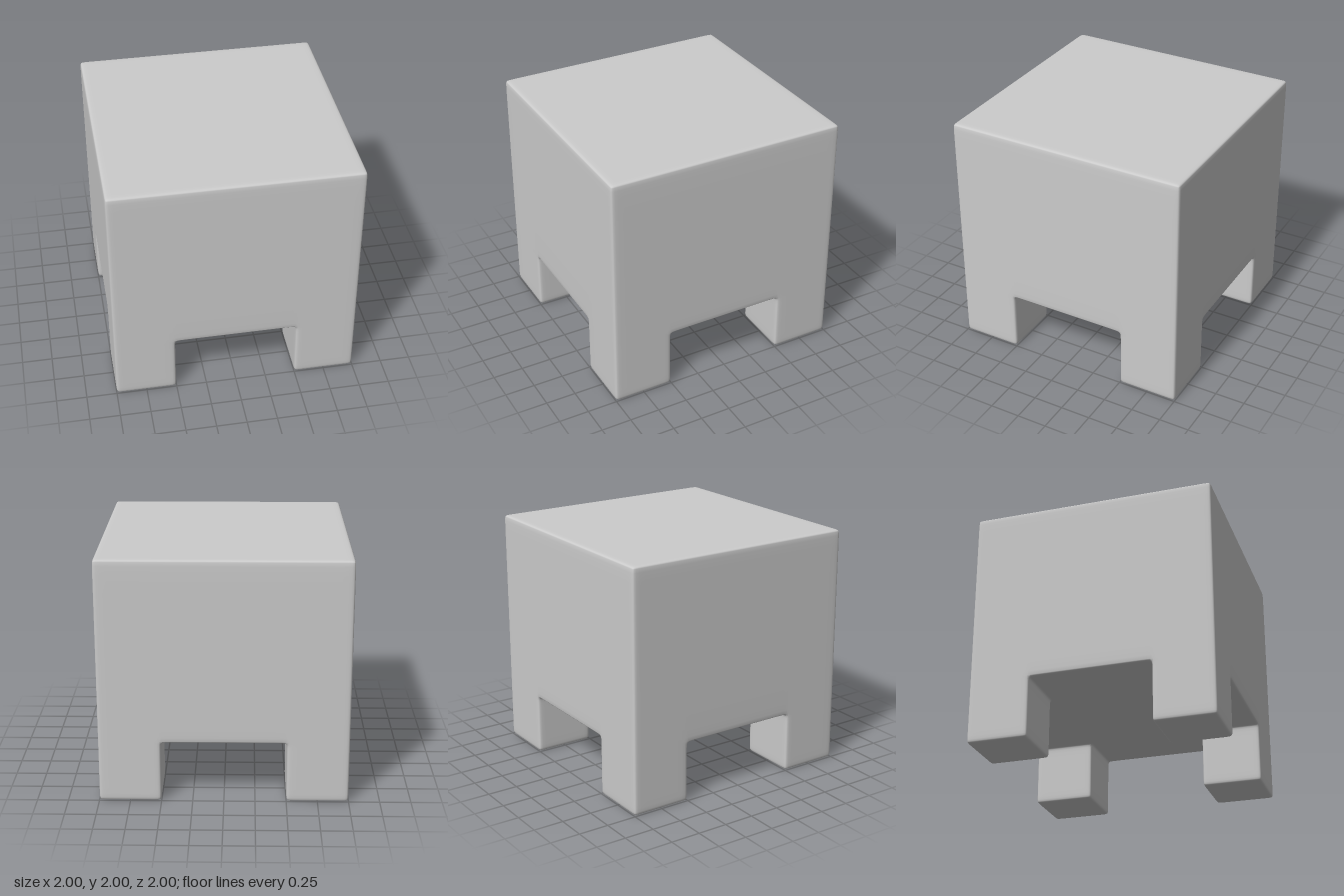
import * as THREE from 'three';

const D = 0.05; // distance of the support loops that tighten the rounded edges
const HALF = [0.5 - D, 0.5, 0.5 + D, 1 - D, 1];
const SIDE = [...HALF.map((v) => -v).reverse(), ...HALF];
const LINES = [SIDE, [0, D, 0.5 - D, 0.5, 0.5 + D, 2 - D, 2], SIDE];

// Block solid: a cube on four square corner legs
function isSolid(cell) {
  const mid = [];
  for (let a = 0; a < 3; a++) {
    if (cell[a] < 0 || cell[a] >= LINES[a].length - 1) return false;
    mid.push((LINES[a][cell[a]] + LINES[a][cell[a] + 1]) / 2);
  }
  return mid[1] > 0.5 || (Math.abs(mid[0]) > 0.5 && Math.abs(mid[2]) > 0.5);
}

// Quad cage: every cell side that borders empty space
function buildCage() {
  const points = [], quads = [], ids = new Map();
  const vertex = (g) => {
    const key = g.join();
    if (!ids.has(key)) {
      ids.set(key, points.length);
      points.push(new THREE.Vector3(...g.map((i, a) => LINES[a][i])));
    }
    return ids.get(key);
  };
  for (let i = 0; i < LINES[0].length - 1; i++)
    for (let j = 0; j < LINES[1].length - 1; j++)
      for (let k = 0; k < LINES[2].length - 1; k++) {
        const cell = [i, j, k];
        if (!isSolid(cell)) continue;
        for (let a = 0; a < 3; a++)
          for (const s of [-1, 1]) {
            const next = [...cell];
            next[a] += s;
            if (isSolid(next)) continue;
            const quad = [[0, 0], [1, 0], [1, 1], [0, 1]].map(([u, v]) => {
              const g = [...cell];
              if (s > 0) g[a]++;
              g[(a + 1) % 3] += u;
              g[(a + 2) % 3] += v;
              return vertex(g);
            });
            quads.push(s > 0 ? quad : quad.reverse());
          }
      }
  return { points, quads };
}

// One Catmull-Clark step on a closed quad mesh
function subdivide({ points, quads }) {
  const n = points.length;
  const out = points.map(() => new THREE.Vector3());
  const faceSum = points.map(() => new THREE.Vector3());
  const edgeSum = points.map(() => new THREE.Vector3());
  const valence = new Array(n).fill(0);
  const edges = new Map();
  const result = [];
  const faceIds = quads.map((q) => {
    const centre = new THREE.Vector3();
    q.forEach((v) => centre.addScaledVector(points[v], 0.25));
    q.forEach((v, c) => {
      faceSum[v].add(centre);
      valence[v]++;
      const w = q[(c + 1) % 4];
      const key = Math.min(v, w) * n + Math.max(v, w);
      if (!edges.has(key)) {
        const ends = points[v].clone().add(points[w]);
        edgeSum[v].addScaledVector(ends, 0.5);
        edgeSum[w].addScaledVector(ends, 0.5);
        edges.set(key, out.length);
        out.push(ends.multiplyScalar(0.25));
      }
      out[edges.get(key)].addScaledVector(centre, 0.25);
    });
    out.push(centre);
    return out.length - 1;
  });
  points.forEach((p, v) => {
    const m = valence[v];
    out[v].copy(p).multiplyScalar((m - 3) / m)
      .addScaledVector(faceSum[v], 1 / (m * m))
      .addScaledVector(edgeSum[v], 2 / (m * m));
  });
  const edgeId = (v, w) => edges.get(Math.min(v, w) * n + Math.max(v, w));
  quads.forEach((q, f) => q.forEach((v, c) => {
    result.push([v, edgeId(v, q[(c + 1) % 4]), faceIds[f], edgeId(q[(c + 3) % 4], v)]);
  }));
  return { points: out, quads: result };
}

export function createModel() {
  let mesh = buildCage();
  for (let i = 0; i < 2; i++) mesh = subdivide(mesh);

  const geometry = new THREE.BufferGeometry().setFromPoints(mesh.points);
  geometry.setIndex(mesh.quads.flatMap(([a, b, c, d]) => [a, b, c, a, c, d]));
  geometry.computeVertexNormals();

  // Cube and its four legs form one continuous rounded skin
  const body = new THREE.Mesh(geometry, new THREE.MeshStandardMaterial({ color: 0xcccccc }));
  body.name = 'cubeBodyWithLegs';
  const model = new THREE.Group();
  model.name = 'leggedCube';
  model.add(body);
  return model;
}
